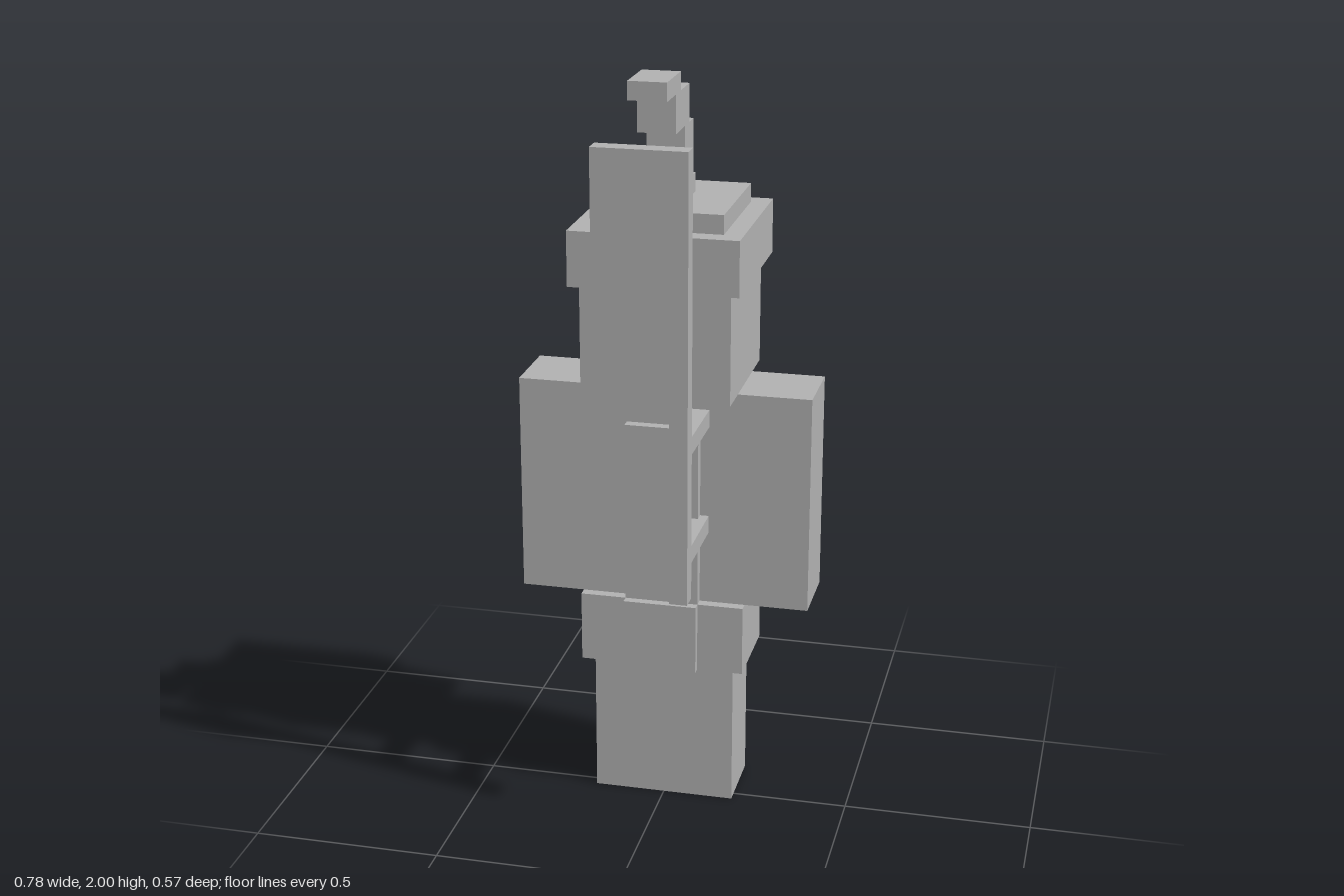
import * as THREE from 'three';

export function createModel() {
  const group = new THREE.Group();
  const stone = new THREE.MeshStandardMaterial({ color: 0xb0b0b0 });
  stone.name = 'plain grey';

  // A block given by its lower and upper limits on each axis
  const block = (name, x0, x1, y0, y1, z0, z1) => {
    const mesh = new THREE.Mesh(new THREE.BoxGeometry(x1 - x0, y1 - y0, z1 - z0), stone);
    mesh.name = name;
    mesh.position.set((x0 + x1) / 2, (y0 + y1) / 2, (z0 + z1) / 2);
    group.add(mesh);
  };
  // A block centred on x = 0
  const centred = (name, halfWidth, ...limits) => block(name, -halfWidth, halfWidth, ...limits);

  // Body
  centred('legs', 0.19, 0, 0.395, -0.162, 0.03);
  centred('hips', 0.22, 0.395, 0.585, -0.188, 0.057);
  centred('buckle', 0.098, 0.395, 0.585, -0.212, 0.08);
  centred('torso', 0.388, 0.585, 1.172, -0.164, 0.03);
  centred('chestStrip', 0.098, 0.585, 1.075, -0.188, 0.057);

  // Head and hat
  centred('head', 0.195, 1.172, 1.465, -0.262, 0.128);
  centred('hatBrim', 0.22, 1.465, 1.61, -0.286, 0.152);
  centred('hatTop', 0.17, 1.61, 1.66, -0.238, 0.103);

  // Stepped plume, from base to tip: y0, y1, z0, z1
  [
    [1.66, 1.71, -0.117, -0.018],
    [1.71, 1.855, -0.092, 0.005],
    [1.855, 1.953, -0.043, 0.104],
    [1.953, 2, 0.054, 0.2],
  ].forEach((limits, i) => centred('plume' + (i + 1), 0.049, ...limits));

  // Flag on a pole, held by two brackets
  block('flagPole', 0.074, 0.121, 0.685, 1.855, 0.237, 0.285);
  block('flag', -0.122, 0.074, 1.465, 1.855, 0.237, 0.285);
  for (const y of [0.783, 1.077]) block('poleBracket', 0.074, 0.121, y, y + 0.047, 0.03, 0.237);

  return group;
}
